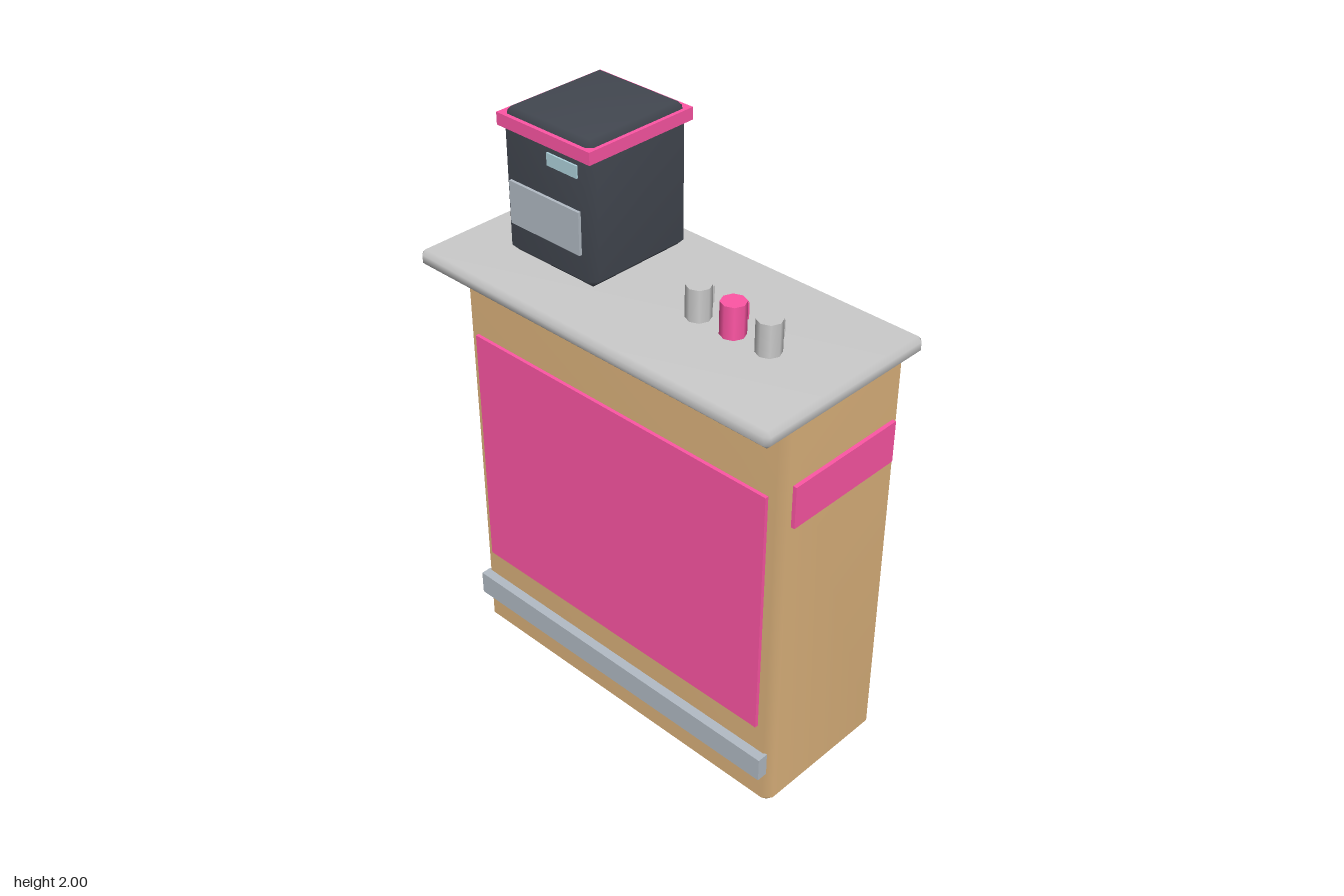
import * as THREE from 'three';
import { mergeVertices } from 'three/addons/utils/BufferGeometryUtils.js';
import { ConvexGeometry } from 'three/addons/geometries/ConvexGeometry.js';

const mat = (color) => new THREE.MeshStandardMaterial({ color });
const GREY = mat(0xcccccc), WOOD = mat(0xdeb47d), PINK = mat(0xff56a5);
const DARK = mat(0x434851), STEEL = mat(0xb3bcc5), SCREEN = mat(0xb0d4de);

// Box with every edge chamfered by c and softly shaded
function chamferBox(w, h, d, c) {
  const pts = [];
  for (const x of [-1, 1]) for (const y of [-1, 1]) for (const z of [-1, 1]) {
    for (let axis = 0; axis < 3; axis++) {
      const half = [w, h, d].map((s, i) => s / 2 - (i === axis ? 0 : c));
      pts.push(new THREE.Vector3(x * half[0], y * half[1], z * half[2]));
    }
  }
  let geo = new ConvexGeometry(pts);
  geo.deleteAttribute('normal');
  geo = mergeVertices(geo);
  geo.computeVertexNormals();
  return geo;
}

export function createModel() {
  const model = new THREE.Group();

  // Adds a box given by its ranges on x, y and z
  function box(name, material, [x0, x1], [y0, y1], [z0, z1], chamfer = 0, parent = model) {
    const size = [x1 - x0, y1 - y0, z1 - z0];
    const geo = chamfer ? chamferBox(...size, chamfer) : new THREE.BoxGeometry(...size);
    const mesh = new THREE.Mesh(geo, material);
    mesh.position.set((x0 + x1) / 2, (y0 + y1) / 2, (z0 + z1) / 2);
    mesh.name = name;
    parent.add(mesh);
    return mesh;
  }

  // Counter
  box('counterBody', WOOD, [-0.205, 0.32], [0, 1.475], [-0.66, 0.66], 0.026);
  box('countertop', GREY, [-0.335, 0.335], [1.475, 1.53], [-0.703, 0.703], 0.014);

  // Coloured trim and foot rail
  box('frontBand', PINK, [-0.165, 0.278], [1.108, 1.252], [0.65, 0.673]);
  box('sideBand', PINK, [0.31, 0.331], [1.108, 1.252], [-0.588, 0.588]);
  box('sidePanel', PINK, [-0.217, -0.195], [0.325, 1.21], [-0.607, 0.607]);
  box('footRail', STEEL, [-0.238, -0.2], [0.137, 0.222], [-0.645, 0.645]);

  // Machine on the countertop
  const machine = new THREE.Group();
  machine.name = 'machine';
  model.add(machine);
  box('machineBody', DARK, [-0.148, 0.26], [1.53, 2], [-0.511, -0.135], 0.026, machine);
  box('machineBand', PINK, [-0.154, 0.265], [1.942, 1.982], [-0.516, -0.13], 0, machine);
  box('machineTray', STEEL, [-0.158, -0.14], [1.64, 1.78], [-0.472, -0.178], 0, machine);
  box('machineScreen', SCREEN, [-0.154, -0.14], [1.883, 1.923], [-0.308, -0.185], 0, machine);

  // Row of mugs
  [[0.175, GREY], [0.307, PINK], [0.44, GREY]].forEach(([z, material], i) => {
    const mug = new THREE.Group();
    mug.name = `mug${i + 1}`;
    const cup = new THREE.Mesh(new THREE.CylinderGeometry(0.04, 0.04, 0.108, 8), material);
    cup.name = 'cup';
    cup.position.set(-0.03, 1.583, z);
    mug.add(cup);
    box('handle', material, [0.006, 0.027], [1.557, 1.612], [z - 0.009, z + 0.009], 0, mug);
    model.add(mug);
  });

  return model;
}
